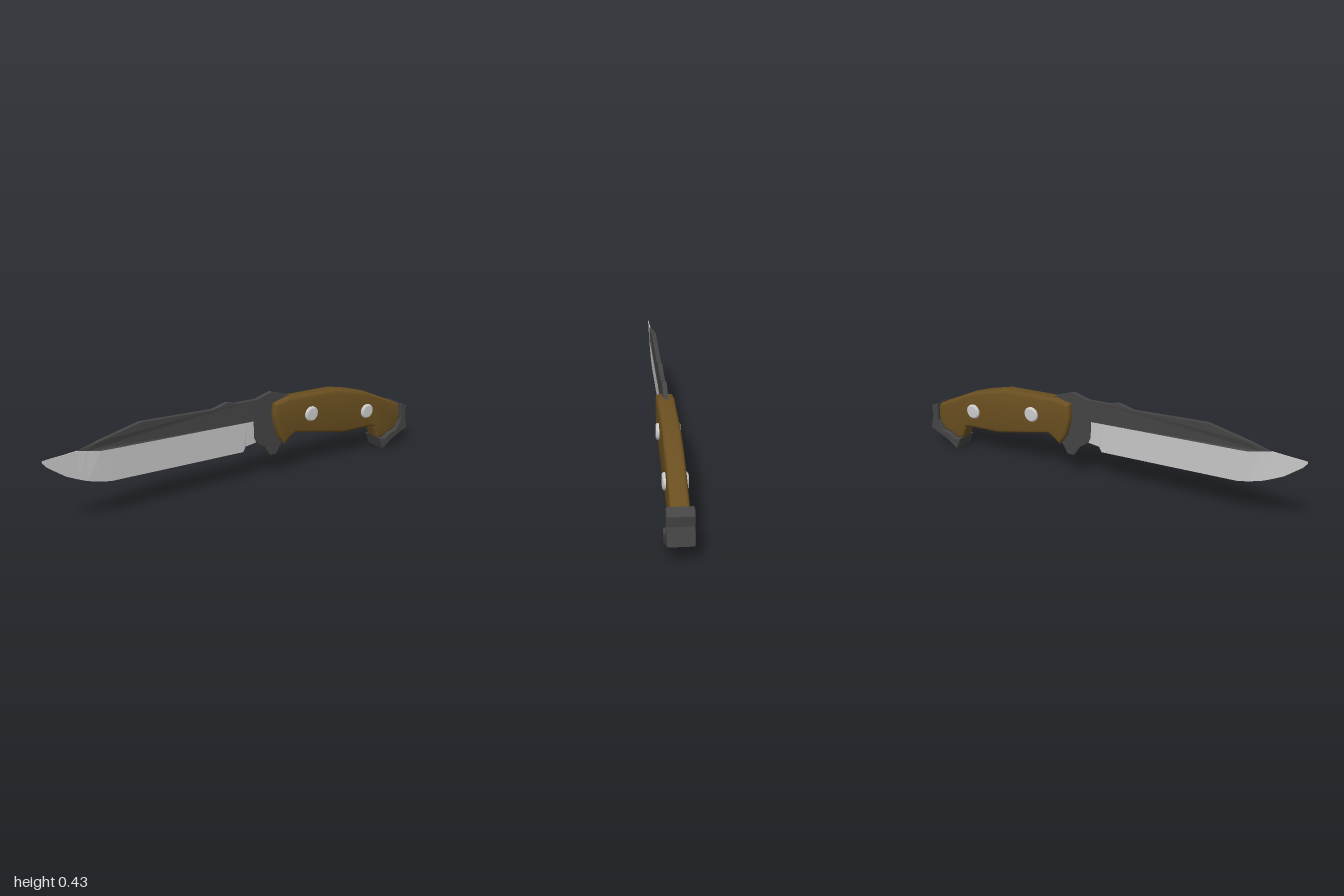
import * as THREE from 'three';
import { toCreasedNormals } from 'three/addons/utils/BufferGeometryUtils.js';

const steel = new THREE.MeshStandardMaterial({ color: 0xcccccc });
const black = new THREE.MeshStandardMaterial({ color: 0x444444 });
const brown = new THREE.MeshStandardMaterial({ color: 0x6a4f20 });

// Plate cut from a side outline, centred on z = 0, with its rim rounded inward.
function plate(outline, half, bevel = 0, segments = 1) {
  const shape = new THREE.Shape(outline.map(([x, y]) => new THREE.Vector2(x, y)));
  const geometry = new THREE.ExtrudeGeometry(shape, {
    depth: 2 * (half - bevel),
    bevelEnabled: bevel > 0,
    bevelThickness: bevel,
    bevelSize: bevel,
    bevelOffset: -bevel,
    bevelSegments: segments,
  });
  return geometry.translate(0, 0, bevel - half);
}

// Wedge lofted through stations [x, edge y, top y, half thickness at the top].
function wedge(stations) {
  const sections = stations.map(([x, edge, top, h]) => [[x, edge, 0], [x, top, h], [x, top, -h]]);
  const points = [];
  for (let i = 0; i < sections.length - 1; i++) {
    const a = sections[i], b = sections[i + 1];
    for (let j = 0; j < 3; j++) {
      const k = (j + 1) % 3;
      points.push(a[j], b[j], b[k], a[j], b[k], a[k]);
    }
  }
  const first = sections[0], last = sections.at(-1);
  points.push(first[0], first[1], first[2], last[0], last[2], last[1]);
  const geometry = new THREE.BufferGeometry();
  geometry.setAttribute('position', new THREE.Float32BufferAttribute(points.flat(), 3));
  geometry.computeVertexNormals();
  return geometry;
}

export function createModel() {
  const group = new THREE.Group();
  const add = (name, geometry, material) => {
    const mesh = new THREE.Mesh(geometry, material);
    mesh.name = name;
    group.add(mesh);
    return mesh;
  };

  // Ground blade with a curved belly and a notch in front of the guard
  add('blade', wedge([
    [-1, 0.338, 0.347, 0.001],
    [-0.98, 0.314, 0.349, 0.001],
    [-0.9, 0.255, 0.353, 0.002],
    [-0.84, 0.226, 0.357, 0.003],
    [-0.8, 0.209, 0.348, 0.005],
    [-0.74, 0.192, 0.337, 0.01],
    [-0.69, 0.182, 0.334, 0.01],
    [-0.35, 0.17, 0.321, 0.01],
    [0, 0.158, 0.307, 0.01],
    [0.015, 0.183, 0.306, 0.01],
    [0.075, 0.19, 0.304, 0.01],
  ]), steel);

  // Dark spine, guard and tang in one plate, thinned toward the tip
  const spine = plate([
    [-0.84, 0.357], [-0.8, 0.348], [-0.74, 0.337], [-0.69, 0.334], [0.052, 0.304],
    [0.06, 0.22], [0.075, 0.19], [0.115, 0.165], [0.15, 0.113], [0.185, 0.113],
    [0.21, 0.155], [0.25, 0.2], [0.32, 0.24], [0.32, 0.35], [0.25, 0.395],
    [0.155, 0.429], [0.07, 0.407], [-0.04, 0.41], [-0.09, 0.424], [-0.17, 0.405],
    [-0.54, 0.424], [-0.74, 0.38], [-0.8, 0.366],
  ].reverse(), 0.0105);
  const position = spine.attributes.position;
  for (let i = 0; i < position.count; i++) {
    const t = THREE.MathUtils.clamp((position.getX(i) + 0.84) / 0.1, 0.3, 1);
    position.setZ(i, position.getZ(i) * t);
  }
  spine.computeVertexNormals();
  add('spineAndGuard', spine, black);

  // Handle scales with rounded rims
  const handle = plate([
    [0.153, 0.318], [0.18, 0.215], [0.216, 0.163], [0.245, 0.186], [0.28, 0.206],
    [0.58, 0.142], [0.75, 0.137], [0.783, 0.13], [0.81, 0.066], [0.847, 0.06],
    [0.88, 0.08], [0.92, 0.088], [0.955, 0.13], [0.965, 0.215], [0.75, 0.315],
    [0.65, 0.348], [0.53, 0.377], [0.28, 0.386], [0.24, 0.392], [0.16, 0.374],
  ], 0.04, 0.015, 3);
  add('handle', toCreasedNormals(handle, 0.6), brown);

  // Thick hooked pommel around the butt
  add('pommel', plate([
    [0.81, 0.066], [0.837, 0.003], [0.9, 0.046], [1, 0.088], [0.982, 0.165],
    [0.987, 0.21], [0.945, 0.232], [0.95, 0.14], [0.92, 0.09], [0.88, 0.083],
    [0.847, 0.06],
  ], 0.056, 0.004), black);

  // Rivets through the handle, with softened faces
  const profile = [[0, -0.054], [0.03, -0.053], [0.037, -0.047], [0.037, 0.047], [0.03, 0.053], [0, 0.054]]
    .map(([r, y]) => new THREE.Vector2(r, y));
  const rivet = toCreasedNormals(new THREE.LatheGeometry(profile, 20).rotateX(Math.PI / 2), 0.5);
  for (const [x, y] of [[0.37, 0.287], [0.725, 0.229]]) {
    add('rivet', rivet, steel).position.set(x, y, 0);
  }
  return group;
}
